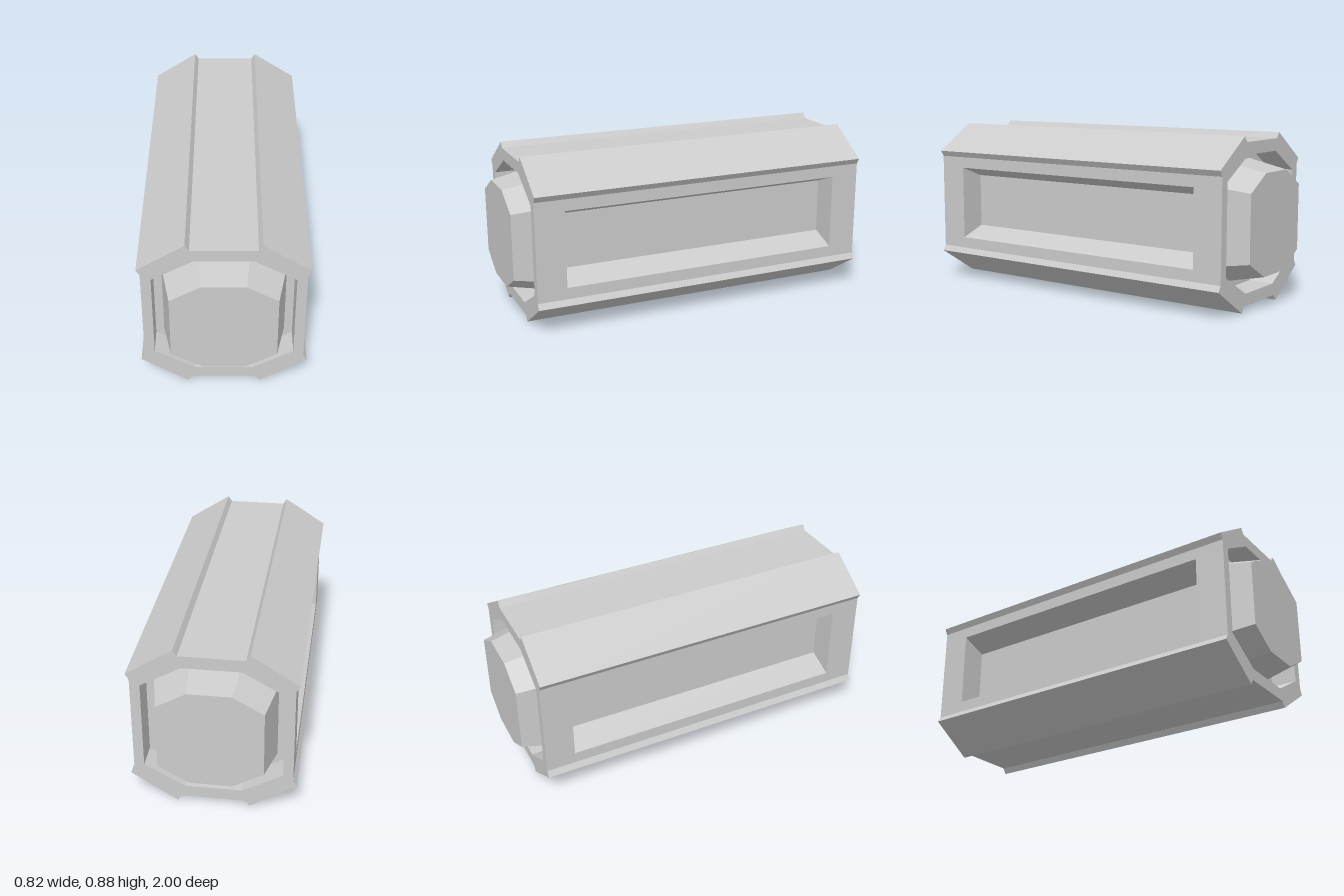
import * as THREE from 'three';

const CENTRE_Y = 0.438;
const BODY_END = 0.92;    // end of the outer shell
const RECESS_Z = 0.785;   // floor of the end recesses
const WINDOW_Z = 0.765;   // end of the side windows

// Mirror a first-quadrant run of points into a closed four-way symmetric outline
function mirrored(quarter) {
  const back = [...quarter].reverse();
  return [
    ...quarter,
    ...back.map(([x, y]) => [-x, y]),
    ...quarter.map(([x, y]) => [-x, -y]),
    ...back.map(([x, y]) => [x, -y]),
  ].map(([x, y]) => new THREE.Vector2(x, y));
}

// Extrude an outline along z between two positions
function prism(outline, z0, z1, hole) {
  const shape = new THREE.Shape(outline);
  if (hole) shape.holes.push(new THREE.Path(hole));
  const geometry = new THREE.ExtrudeGeometry(shape, { depth: z1 - z0, bevelEnabled: false });
  geometry.translate(0, 0, z0);
  return geometry;
}

export function createModel() {
  const group = new THREE.Group();
  group.name = 'octagonalCanister';
  const material = new THREE.MeshStandardMaterial({ color: 0xcccccc, flatShading: true });

  const add = (name, geometry, parent = group) => {
    const mesh = new THREE.Mesh(geometry, material);
    mesh.name = name;
    mesh.position.y = parent === group ? CENTRE_Y : 0;
    parent.add(mesh);
  };

  // Outline with four raised corner plates
  const corner = [[0.393, 0.26], [0.411, 0.29], [0.18, 0.438], [0.16, 0.408]];
  const shell = mirrored(corner);
  const windowed = mirrored([[0.253, 0.146], [0.393, 0.2], ...corner]);
  const recess = mirrored([[0.343, 0.232], [0.143, 0.345]]);
  const capBase = mirrored([[0.302, 0.201], [0.125, 0.302]]);

  // Middle body with a tapered window groove on each side
  add('windowedBody', prism(windowed, -WINDOW_Z, WINDOW_Z));

  // Both ends: bulkhead, open collar and tapered cap
  for (const side of [1, -1]) {
    const end = new THREE.Group();
    end.name = side > 0 ? 'frontEnd' : 'backEnd';
    end.position.y = CENTRE_Y;
    end.rotation.y = side > 0 ? 0 : Math.PI;
    group.add(end);

    add('bulkhead', prism(shell, WINDOW_Z, RECESS_Z), end);
    add('collar', prism(shell, RECESS_Z, BODY_END, recess), end);

    // Narrow the outer face of the cap
    const cap = prism(capBase, RECESS_Z, 1);
    const p = cap.attributes.position;
    for (let i = 0; i < p.count; i++) {
      if (p.getZ(i) > 0.9) p.setXY(i, p.getX(i) * 0.853, p.getY(i) * 0.853);
    }
    cap.computeVertexNormals();
    add('endCap', cap, end);
  }

  return group;
}
